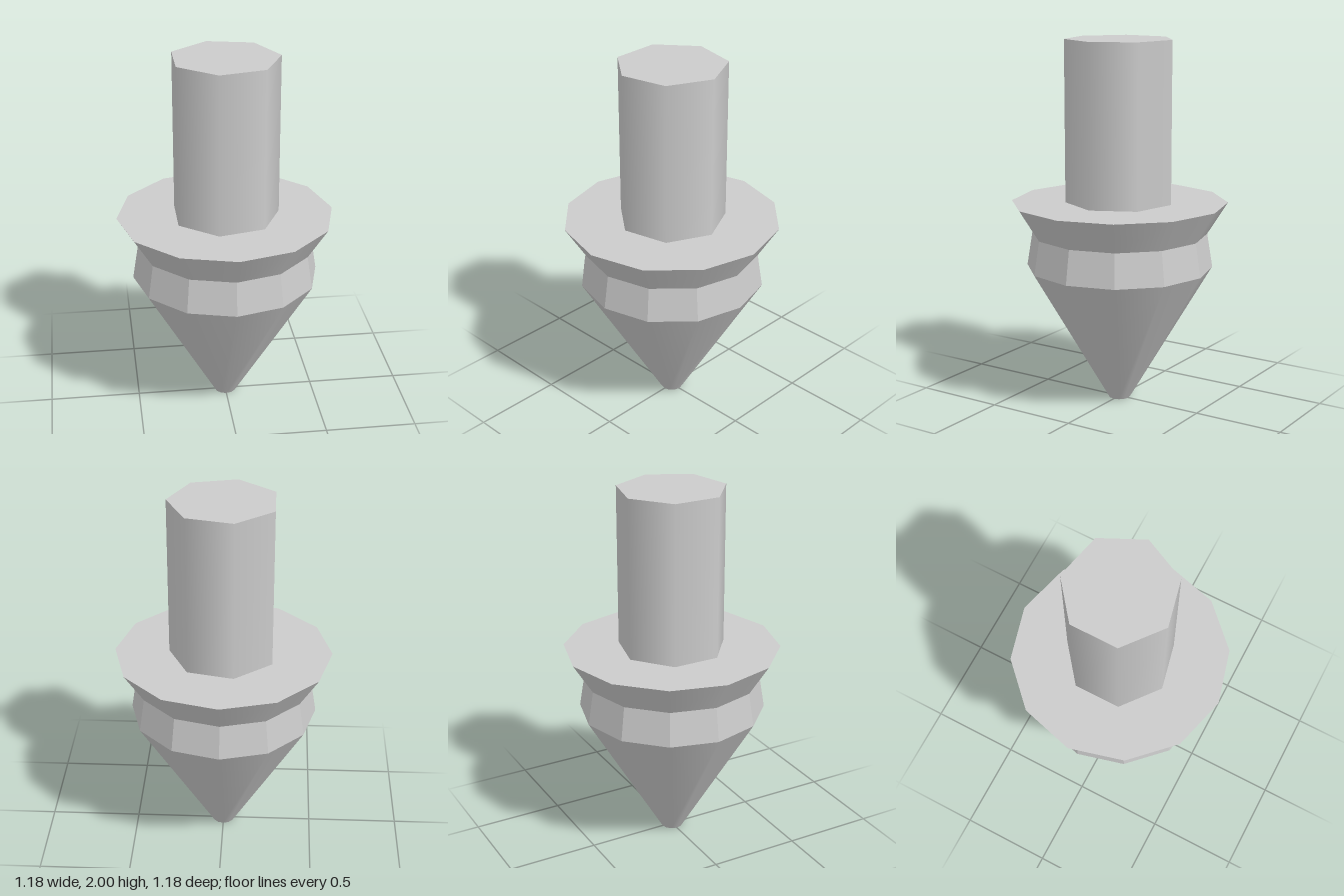
import * as THREE from 'three';

export function createModel() {
  const model = new THREE.Group();
  const smooth = new THREE.MeshStandardMaterial({ color: 0xcccccc });
  const faceted = new THREE.MeshStandardMaterial({ color: 0xcccccc, flatShading: true });

  // One tapered ring of the body, with a corner on the +x axis
  function section(name, y0, r0, y1, r1, sides, material, open = false) {
    const geometry = new THREE.CylinderGeometry(r1, r0, y1 - y0, sides, 1, open, Math.PI / 2);
    const mesh = new THREE.Mesh(geometry, material);
    mesh.name = name;
    mesh.position.y = (y0 + y1) / 2;
    model.add(mesh);
    return mesh;
  }

  // Blunt-tipped cone, faceted waist band, flared collar
  section('tipCone', 0, 0.06, 0.76, 0.51, 12, smooth);
  section('waistBand', 0.76, 0.51, 0.945, 0.48, 12, faceted, true);
  section('collar', 0.945, 0.48, 1.12, 0.59, 12, smooth);

  // Seven-sided stem standing on the collar
  section('stem', 1.12, 0.295, 2, 0.295, 7, smooth);

  return model;
}
